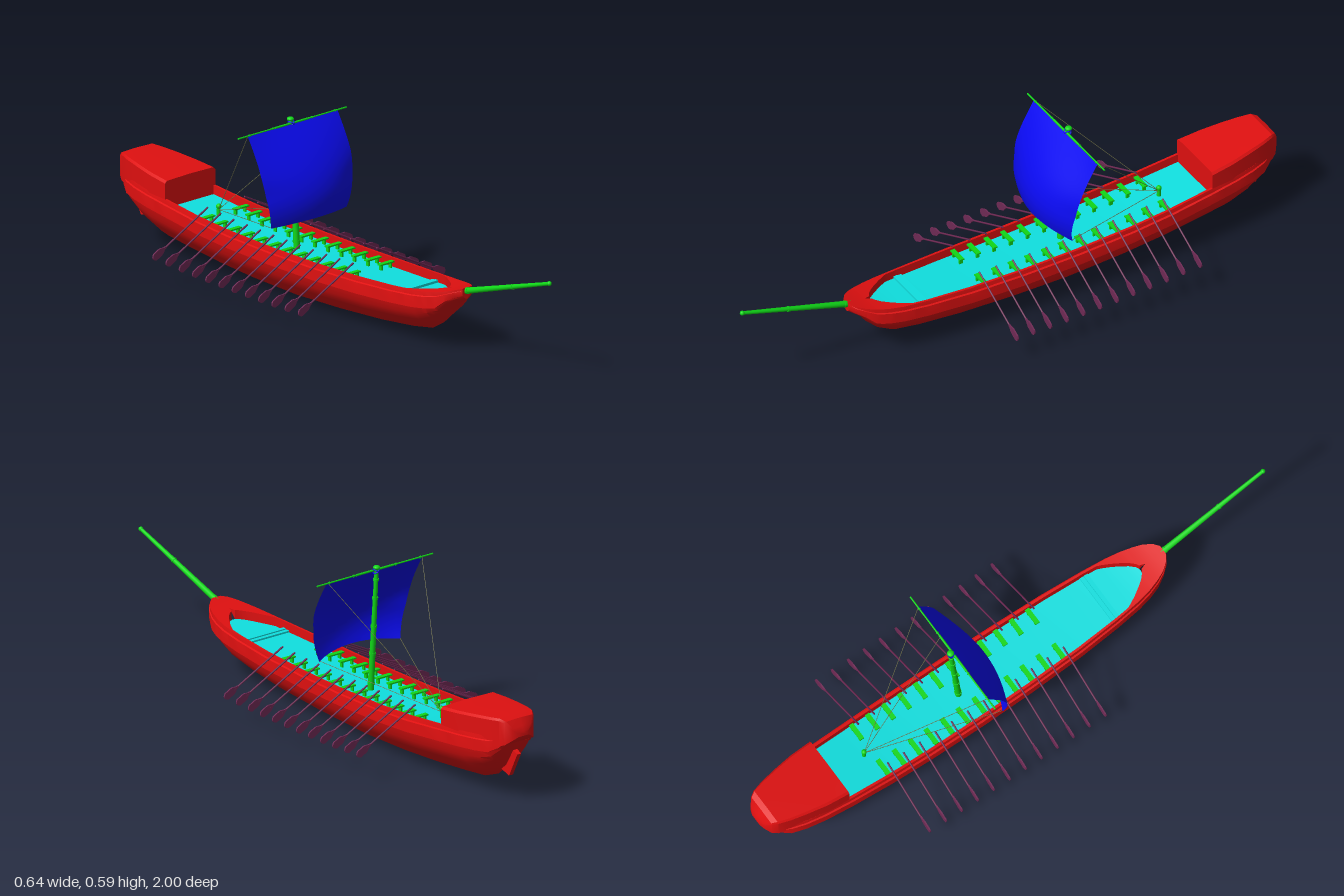
import * as THREE from 'three';
import { toCreasedNormals } from 'three/addons/utils/BufferGeometryUtils.js';

const mat = (color, side = THREE.FrontSide) => new THREE.MeshStandardMaterial({ color, side });
const RED = mat(0xe01010), GREEN = mat(0x10d818), CYAN = mat(0x10e0e0, THREE.DoubleSide);
const BLUE = mat(0x0a0af0, THREE.DoubleSide), PLUM = mat(0x702a55), ROPE = mat(0x77774a);
const V = (x, y, z) => new THREE.Vector3(x, y, z);

// Hull lines: z, half width, keel height, sheer height
const LINES = [
  [0.6, 0.018, 0.188, 0.226], [0.585, 0.04, 0.178, 0.222], [0.56, 0.06, 0.16, 0.215],
  [0.53, 0.074, 0.12, 0.209], [0.49, 0.087, 0.08, 0.203], [0.44, 0.097, 0.05, 0.198],
  [0.35, 0.107, 0.034, 0.193], [0.2, 0.118, 0.018, 0.188], [0, 0.125, 0.006, 0.185],
  [-0.2, 0.128, 0, 0.187], [-0.4, 0.127, 0.007, 0.193], [-0.55, 0.124, 0.018, 0.203],
  [-0.7, 0.118, 0.034, 0.219], [-0.8, 0.11, 0.047, 0.228], [-0.87, 0.099, 0.075, 0.234],
  [-0.92, 0.085, 0.12, 0.239], [-0.955, 0.066, 0.18, 0.243], [-0.98, 0.042, 0.23, 0.247]];

function lines(z) {
  let i = 0;
  while (i < LINES.length - 2 && z < LINES[i + 1][0]) i++;
  const a = LINES[i], b = LINES[i + 1], t = (z - a[0]) / (b[0] - a[0]);
  const [w, k, s] = [1, 2, 3].map(n => a[n] + (b[n] - a[n]) * t);
  return { w, k, s, deck: s - 0.03, inner: 0.86 * w * Math.sqrt(Math.min(1, Math.max(0, (0.512 - z) / 0.11))) };
}

// Skin over cross-sections running from bow to stern
function loft(sections, closed, caps) {
  const pos = [], idx = [], n = sections[0].length;
  sections.forEach(s => s.forEach(p => pos.push(p.x, p.y, p.z)));
  for (let i = 0; i < sections.length - 1; i++)
    for (let j = 0; j < (closed ? n : n - 1); j++) {
      const a = i * n + j, b = i * n + (j + 1) % n;
      idx.push(a, a + n, b, b, a + n, b + n);
    }
  if (caps) for (let j = 1; j < n - 1; j++) {
    const e = (sections.length - 1) * n;
    idx.push(0, j, j + 1, e, e + j + 1, e + j);
  }
  const g = new THREE.BufferGeometry();
  g.setAttribute('position', new THREE.Float32BufferAttribute(pos, 3));
  g.setIndex(idx);
  return toCreasedNormals(g, 0.5);
}

function hullSection(z) {
  const { w, k, s, deck, inner } = lines(z);
  const d = Math.min(0.055, 0.6 * (s - k)), b = s - d;
  const half = [[0.12, 0.06], [0.36, 0.22], [0.62, 0.46], [0.82, 0.72], [0.9, 1]]
    .map(([x, f]) => [x * w, k + (b - k) * f]);
  // rubbing strake, bulwark and inner wall
  half.push([w, b], [w, s - 0.3 * d], [0.95 * w, s - 0.25 * d], [0.93 * w, s], [inner, s], [inner, z > 0.512 ? s : deck]);
  const right = half.map(([x, y]) => V(x, y, z));
  const left = half.map(([x, y]) => V(-x, y, z)).reverse();
  return [...left, V(0, k, z), ...right];
}

function add(parent, name, geometry, material) {
  const m = new THREE.Mesh(geometry, material);
  m.name = name;
  parent.add(m);
  return m;
}

function rod(parent, name, a, b, ra, rb, material, sides = 10) {
  const dir = b.clone().sub(a);
  const m = add(parent, name, new THREE.CylinderGeometry(rb, ra, dir.length(), sides), material);
  m.position.copy(a).add(b).multiplyScalar(0.5);
  m.quaternion.setFromUnitVectors(V(0, 1, 0), dir.normalize());
  return m;
}

function box(parent, name, w, h, d, x, y, z, material) {
  const m = add(parent, name, new THREE.BoxGeometry(w, h, d), material);
  m.position.set(x, y, z);
  return m;
}

export function createModel() {
  const ship = new THREE.Group();
  ship.name = 'galley';

  // Hull and deck
  const extra = [0.511, 0.505, 0.47, 0.415, 0.4, 0.28, 0.1, -0.1, -0.3, -0.48, -0.62, -0.75];
  const zs = [...LINES.map(l => l[0]), ...extra].sort((a, b) => b - a);
  add(ship, 'hull', loft(zs.map(hullSection), false, true), RED);
  const deckZ = zs.filter(z => z < 0.512 && z > -0.78);
  add(ship, 'deck', loft(deckZ.map(z => {
    const { inner, deck } = lines(z);
    return [V(inner, deck, z), V(-inner, deck, z)];
  }), false, false), CYAN);
  [0.345, 0.36].forEach((z, i) => {
    const { inner, deck } = lines(z);
    box(ship, 'foredeckStep', 2 * inner, 0.006 + i * 0.005, 0.014, 0, deck + 0.003, z, CYAN);
  });

  // Stern cabin: z, half width, floor, roof
  const cabin = [[-0.71, 0.109, 0.185, 0.283], [-0.79, 0.104, 0.2, 0.291], [-0.86, 0.093, 0.205, 0.299],
    [-0.92, 0.081, 0.21, 0.305], [-0.96, 0.069, 0.212, 0.309], [-0.978, 0.058, 0.22, 0.301],
    [-0.992, 0.04, 0.234, 0.277], [-1, 0.02, 0.245, 0.26]];
  add(ship, 'sternCabin', loft(cabin.map(([z, w, lo, hi]) => {
    const c = (hi - lo) * 0.1;
    return [[-w, lo], [w, lo], [w, hi - c], [w * 0.93, hi - c * 0.2], [0, hi], [-w * 0.93, hi - c * 0.2], [-w, hi - c]]
      .map(([x, y]) => V(x, y, z));
  }), true, true), RED);

  // Rudder
  const blade = new THREE.Shape([[-0.88, 0.105], [-0.935, 0.09], [-0.977, 0.175], [-0.935, 0.195]]
    .map(p => new THREE.Vector2(...p)));
  const rudderGeo = new THREE.ExtrudeGeometry(blade, { depth: 0.016, bevelEnabled: false });
  rudderGeo.translate(0, 0, -0.008).rotateY(-Math.PI / 2);
  add(ship, 'rudder', rudderGeo, RED);

  // Bowsprit
  const sprit0 = V(0, 0.2, 0.55), sprit1 = V(0, 0.338, 0.992);
  rod(ship, 'bowsprit', sprit0, sprit1, 0.011, 0.006, GREEN);
  add(ship, 'bowspritKnob', new THREE.SphereGeometry(0.008, 12, 8), GREEN).position.copy(sprit1);
  [0.12, 0.6].forEach(t => rod(ship, 'bowspritBand', sprit0.clone().lerp(sprit1, t),
    sprit0.clone().lerp(sprit1, t + 0.015), 0.012 - t * 0.004, 0.012 - t * 0.004, GREEN));

  // Mast with bands, knob and lashings
  const foot = V(0, 0.15, -0.204), head = V(0, 0.584, -0.235);
  rod(ship, 'mast', foot, head, 0.011, 0.007, GREEN);
  [0.06, 0.3, 0.52, 0.75, 0.9].forEach(t => rod(ship, 'mastBand', foot.clone().lerp(head, t),
    foot.clone().lerp(head, t + 0.018), 0.0125 - t * 0.003, 0.0125 - t * 0.003, GREEN));
  const knob = add(ship, 'mastKnob', new THREE.SphereGeometry(0.012, 12, 8), GREEN);
  knob.position.set(0, 0.587, -0.235);
  knob.scale.y = 0.6;
  [-1, 1].forEach(s => {
    const wrap = add(ship, 'yardLashing', new THREE.TorusGeometry(0.011, 0.0025, 6, 16), BLUE);
    wrap.position.set(0, 0.574, -0.232);
    wrap.rotation.set(Math.PI / 2, s * 0.65, 0);
  });

  // Yard
  const yard = x => V(x, 0.575, -0.226);
  rod(ship, 'yard', yard(-0.235), yard(0.235), 0.0028, 0.0028, GREEN, 8);
  rod(ship, 'yardMiddle', yard(-0.075), yard(0.075), 0.004, 0.004, GREEN, 8);
  [-0.185, -0.085, 0.085, 0.185].forEach(x => rod(ship, 'yardRing', yard(x - 0.002), yard(x + 0.002), 0.0045, 0.0045, GREEN, 8));

  // Billowing sail
  const sailGeo = new THREE.PlaneGeometry(2, 1, 20, 20);
  const p = sailGeo.attributes.position;
  for (let i = 0; i < p.count; i++) {
    const u = p.getX(i), v = 0.5 - p.getY(i);
    const half = 0.195 - 0.03 * Math.pow(Math.max(0, (v - 0.4) / 0.6), 1.4);
    p.setXYZ(i, u * half, 0.574 - v * (0.288 + 0.011 * u * u),
      -0.224 + 0.127 * Math.sin(Math.PI * 0.62 * v) - 0.042 * u * u * Math.min(1, v * 1.6));
  }
  sailGeo.computeVertexNormals();
  add(ship, 'sail', sailGeo, BLUE);

  // Rope post and rigging
  const postZ = -0.575, tie = V(0, 0.195, postZ);
  rod(ship, 'ropePost', V(0, lines(postZ).deck, postZ), V(0, 0.203, postZ), 0.007, 0.006, GREEN);
  add(ship, 'postKnob', new THREE.SphereGeometry(0.009, 10, 8), GREEN).position.set(0, 0.206, postZ);
  [-1, 1].forEach(s => {
    rod(ship, 'yardRope', V(s * 0.19, 0.574, -0.228), tie, 0.001, 0.001, ROPE, 5);
    rod(ship, 'sheetRope', V(s * 0.163, 0.277, -0.148), tie, 0.001, 0.001, ROPE, 5);
  });

  // Oar geometry, lying along +x
  const shaft = new THREE.CylinderGeometry(0.003, 0.003, 0.225, 6).rotateZ(Math.PI / 2).translate(0.1125, 0, 0);
  const outline = new THREE.Shape();
  outline.moveTo(0.205, -0.003);
  outline.bezierCurveTo(0.218, -0.004, 0.22, -0.013, 0.232, -0.013);
  outline.lineTo(0.256, -0.013);
  outline.quadraticCurveTo(0.266, -0.008, 0.266, 0);
  outline.quadraticCurveTo(0.266, 0.008, 0.256, 0.013);
  outline.lineTo(0.232, 0.013);
  outline.bezierCurveTo(0.22, 0.013, 0.218, 0.004, 0.205, 0.003);
  const paddle = new THREE.ExtrudeGeometry(outline, { depth: 0.005, bevelEnabled: false, curveSegments: 5 }).translate(0, 0, -0.0025);

  // Twelve oars and rowing benches on each side
  for (let i = 0; i < 12; i++) {
    const z = 0.15 - i * 0.0627, { s, deck } = lines(z);
    [1, -1].forEach(side => {
      const station = new THREE.Group();
      station.name = 'rowingStation';
      station.rotation.y = side > 0 ? 0 : Math.PI;
      station.position.z = z;
      ship.add(station);
      const oar = new THREE.Group();
      oar.name = 'oar';
      oar.position.set(0.08, s + 0.027, 0);
      oar.rotation.z = -0.47;
      add(oar, 'oarShaft', shaft, PLUM);
      add(oar, 'oarBlade', paddle, PLUM);
      station.add(oar);
      const bz = -0.012 * side;
      box(station, 'benchSeat', 0.062, 0.005, 0.016, 0.074, deck + 0.019, bz, GREEN);
      [0.052, 0.092].forEach(x => box(station, 'benchLeg', 0.006, 0.018, 0.012, x, deck + 0.008, bz, GREEN));
    });
  }
  return ship;
}
